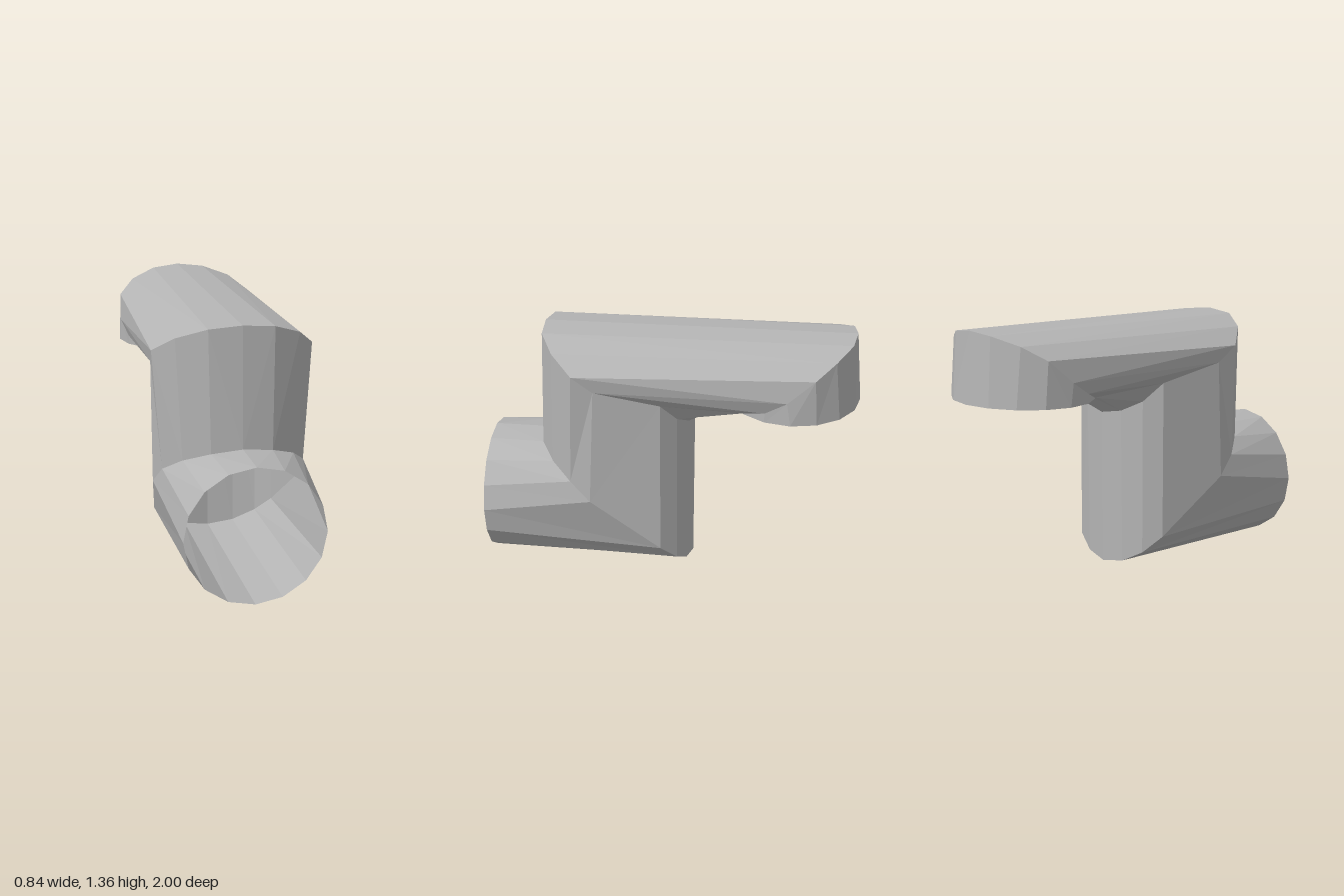
import * as THREE from 'three';

// Half rings (x, y, z) from the outer top point round the left side to the inner point.
const bore = (fn) => Array.from({ length: 9 }, (_, i) => fn(Math.sin(i * Math.PI / 8), Math.cos(i * Math.PI / 8)));
const frontMouth = bore((s, c) => [0.365 * s, 0.365 + 0.36 * c, 1]);
const lowerMitre = [
  [0, 0.725, 0.72], [0.16, 0.705, 0.7], [0.29, 0.655, 0.62], [0.375, 0.58, 0.51], [0.405, 0.48, 0.4],
  [0.335, 0.185, 0.03], [0.26, 0.095, -0.05], [0.14, 0.03, -0.09], [0, 0.005, -0.11],
];
const upperMitre = [
  [0, 1.355, 0.695], [0.17, 1.34, 0.68], [0.32, 1.285, 0.6], [0.42, 1.2, 0.48], [0.405, 1.115, 0.37],
  [0.335, 1.03, 0.03], [0.26, 0.93, -0.05], [0.14, 0.87, -0.1], [0, 0.845, -0.115],
];
const rearMitre = [
  [0, 1.36, -0.97], [0.15, 1.345, -0.95], [0.29, 1.3, -0.87], [0.38, 1.23, -0.77], [0.4, 1.11, -0.63],
  [0.375, 1.04, -0.515], [0.285, 0.995, -0.4], [0.155, 0.993, -0.325], [0, 0.99, -0.3],
];
const rearMouth = bore((s, c) => [0.405 * s, 0.99, -0.65 - 0.35 * c]);

// Mirror a half ring into a closed ring of 16 points.
const closeRing = (half) => [...half, ...half.slice(1, 8).reverse().map(([x, y, z]) => [-x, y, z])];

// Skin two neighbouring rings, with diagonals mirrored across the centre plane.
function pipeSection(name, halfA, halfB, material) {
  const a = closeRing(halfA), b = closeRing(halfB), pos = [];
  for (let i = 0; i < 16; i++) {
    const j = (i + 1) % 16;
    const tris = i < 8 ? [a[i], b[j], b[i], a[i], a[j], b[j]] : [a[i], a[j], b[i], a[j], b[j], b[i]];
    pos.push(...tris.flat());
  }
  const geometry = new THREE.BufferGeometry();
  geometry.setAttribute('position', new THREE.Float32BufferAttribute(pos, 3));
  // Put the outside of the wall on the front of each face.
  for (let k = 0; k < pos.length; k += 9) {
    for (let n = 0; n < 3; n++) {
      const p = geometry.attributes.position.array;
      [p[k + 3 + n], p[k + 6 + n]] = [p[k + 6 + n], p[k + 3 + n]];
    }
  }
  geometry.computeVertexNormals();
  const mesh = new THREE.Mesh(geometry, material);
  mesh.name = name;
  return mesh;
}

export function createModel() {
  const grey = new THREE.MeshStandardMaterial({ color: 0xb4b4b4, flatShading: true, side: THREE.DoubleSide });
  grey.name = 'pipe grey';
  const group = new THREE.Group();
  group.name = 'bentPipe';
  group.add(
    pipeSection('lowerPipe', frontMouth, lowerMitre, grey),
    pipeSection('uprightPipe', lowerMitre, upperMitre, grey),
    pipeSection('upperPipe', upperMitre, rearMitre, grey),
    pipeSection('downturnedMouth', rearMitre, rearMouth, grey),
  );
  return group;
}
